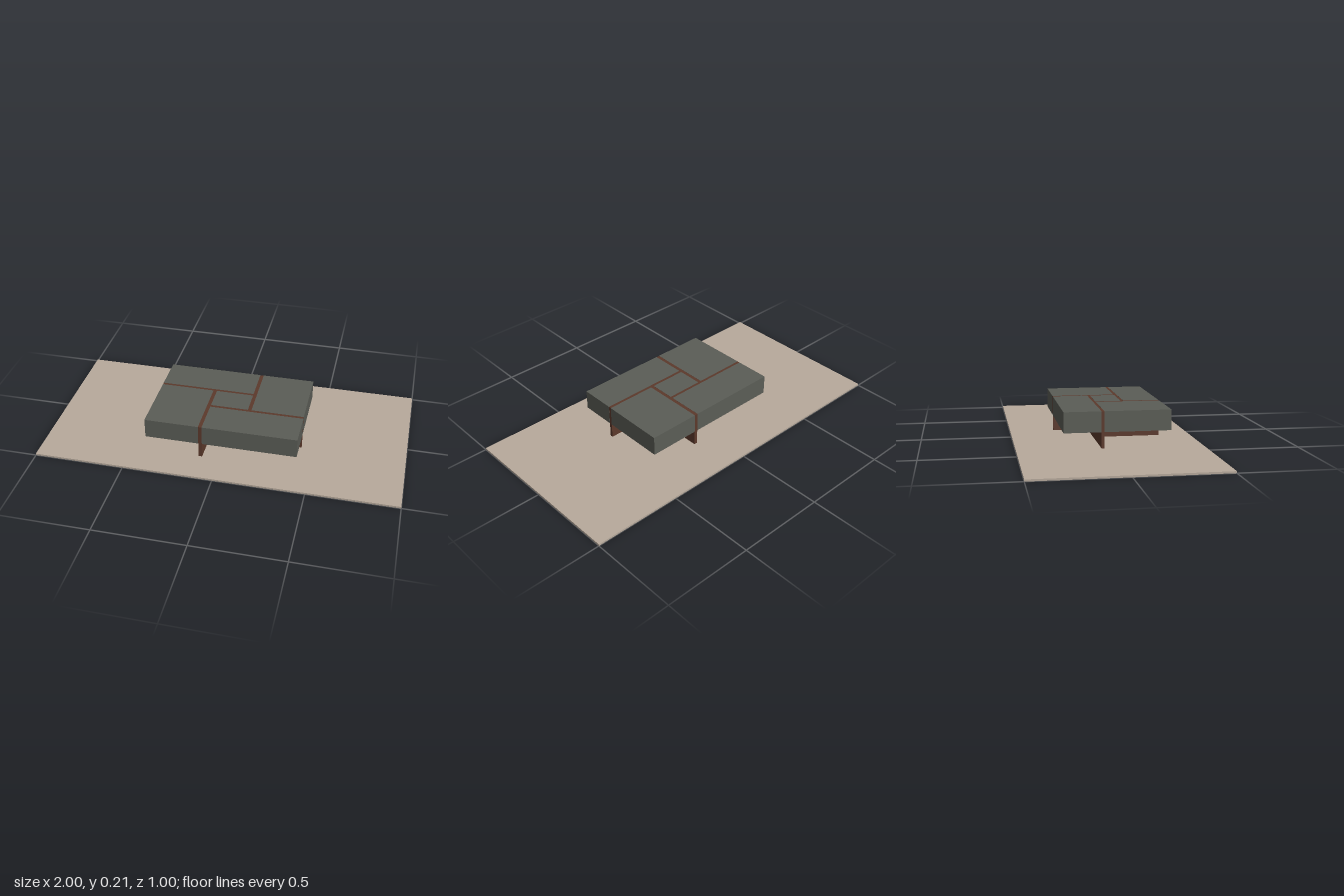
import * as THREE from 'three';

const rugBeige = new THREE.MeshStandardMaterial({ color: 0xb8aa9c });
rugBeige.name = 'rugBeige';
const slateGrey = new THREE.MeshStandardMaterial({ color: 0x5b5d56 });
slateGrey.name = 'slateGrey';
const darkWood = new THREE.MeshStandardMaterial({ color: 0x5c392b });
darkWood.name = 'darkWood';

// Box given by its limits on each axis
function slab(name, material, [x0, x1], [y0, y1], [z0, z1]) {
  const mesh = new THREE.Mesh(new THREE.BoxGeometry(x1 - x0, y1 - y0, z1 - z0), material);
  mesh.position.set((x0 + x1) / 2, (y0 + y1) / 2, (z0 + z1) / 2);
  mesh.name = name;
  return mesh;
}

export function createModel() {
  const group = new THREE.Group();
  group.name = 'coffeeTableOnRug';

  // Thin rug
  group.add(slab('rug', rugBeige, [-1, 1], [0, 0.01], [-0.5, 0.5]));

  const table = new THREE.Group();
  table.name = 'coffeeTable';
  group.add(table);

  // Outer limits of the table and the faces of the four boards
  const left = -0.417, right = 0.425, back = -0.252, front = 0.323;
  const xA = [-0.117, -0.097], xB = [0.113, 0.133];
  const zA = [-0.051, -0.036], zB = [0.107, 0.123];

  // Interlocking upright boards: legs below, inlay lines on top
  const boardY = [0.01, 0.208], inset = 0.001;
  table.add(
    slab('backBoard', darkWood, [left + inset, xB[0]], boardY, zA),
    slab('frontBoard', darkWood, [xA[1], right - inset], boardY, zB),
    slab('leftwardBoard', darkWood, xB, boardY, [back + inset, zB[0]]),
    slab('rightwardBoard', darkWood, xA, boardY, [zA[1], front - inset])
  );

  // Thick blocks of the top, arranged as a pinwheel around a middle block
  const blockY = [0.097, 0.2085];
  table.add(
    slab('backBlock', slateGrey, [left, xB[0]], blockY, [back, zA[0]]),
    slab('leftBlock', slateGrey, [xB[1], right], blockY, [back, zB[0]]),
    slab('frontBlock', slateGrey, [xA[1], right], blockY, [zB[1], front]),
    slab('rightBlock', slateGrey, [left, xA[0]], blockY, [zA[1], front]),
    slab('middleBlock', slateGrey, [xA[1], xB[0]], blockY, [zA[1], zB[0]])
  );

  return group;
}
